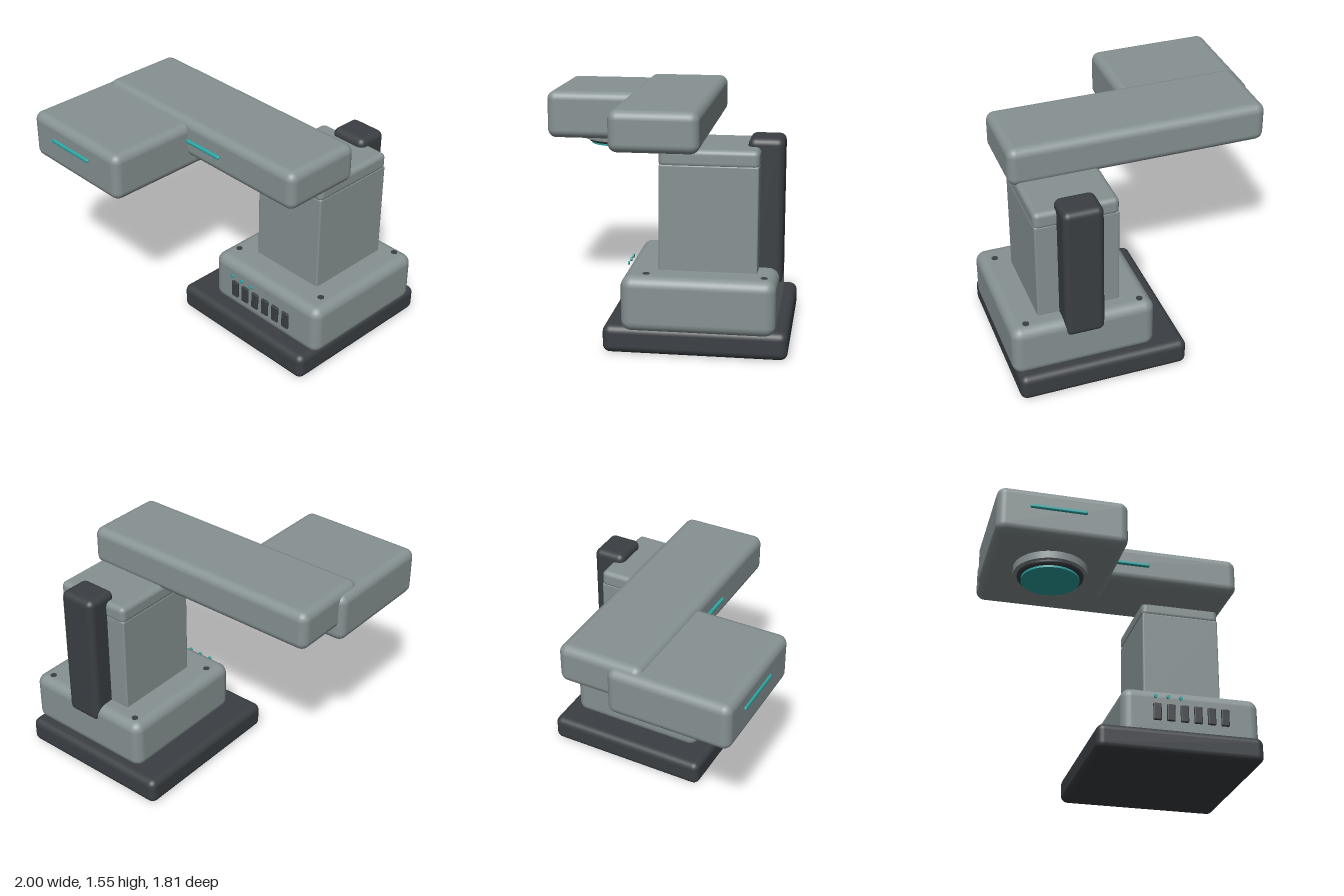
import * as THREE from 'three';
import { RoundedBoxGeometry } from 'three/addons/geometries/RoundedBoxGeometry.js';

export function createModel() {
  const model = new THREE.Group();
  model.name = 'deskArm';

  const material = (name, color) => {
    const m = new THREE.MeshStandardMaterial({ color });
    m.name = name;
    return m;
  };
  const grey = material('bodyGrey', 0x879293);
  const dark = material('charcoal', 0x3b3f43);
  const teal = material('tealLight', 0x2ca6a4);

  const add = (name, geometry, mat, x, y, z, parent = model) => {
    const mesh = new THREE.Mesh(geometry, mat);
    mesh.name = name;
    mesh.position.set(x, y, z);
    parent.add(mesh);
    return mesh;
  };
  // Rounded box given by its extents on each axis
  const box = (name, mat, [x0, x1], [y0, y1], [z0, z1], r, parent = model) =>
    add(name, new RoundedBoxGeometry(x1 - x0, y1 - y0, z1 - z0, 4, r), mat,
      (x0 + x1) / 2, (y0 + y1) / 2, (z0 + z1) / 2, parent);

  // Base and housing
  box('basePlate', dark, [-0.19, 0.975], [0, 0.185], [-0.905, 0.285], 0.05);
  box('housing', grey, [0.01, 0.995], [0.15, 0.518], [-0.825, 0.163], 0.07);

  // Column with its cap and rear spine
  box('column', grey, [0.22, 0.787], [0.45, 1.21], [-0.693, -0.056], 0.012);
  box('columnCap', grey, [0.218, 0.789], [1.19, 1.31], [-0.696, -0.054], 0.035);
  box('rearSpine', dark, [0.367, 0.64], [0.4, 1.365], [-0.842, -0.61], 0.045);

  // Horizontal arm and head
  box('arm', grey, [-0.962, 0.833], [1.278, 1.551], [-0.318, 0.27], 0.06);
  box('head', grey, [-1, -0.125], [1.182, 1.518], [0.043, 0.893], 0.06);

  // Light strips
  box('armStrip', teal, [-0.3, 0.183], [1.393, 1.42], [0.262, 0.288], 0.011);
  box('headStrip', teal, [-0.787, -0.405], [1.367, 1.396], [0.88, 0.906], 0.011);

  // Round lamp under the head: collar, bezel and lens
  const lamp = new THREE.Group();
  lamp.name = 'lamp';
  lamp.position.set(-0.562, 0, 0.452);
  model.add(lamp);
  const disc = (name, mat, r, y0, y1) =>
    add(name, new THREE.CylinderGeometry(r, r, y1 - y0, 48), mat, 0, (y0 + y1) / 2, 0, lamp);
  disc('lampCollar', grey, 0.251, 1.13, 1.2);
  const bezel = add('lampBezel', new THREE.TorusGeometry(0.203, 0.022, 12, 48), dark, 0, 1.126, 0, lamp);
  bezel.rotation.x = Math.PI / 2;
  disc('lampLens', teal, 0.198, 1.09, 1.105);
  disc('lampCore', dark, 0.19, 1.105, 1.135);

  // Vent slots across the housing front
  const vents = new THREE.Group();
  vents.name = 'vents';
  model.add(vents);
  for (let i = 0; i < 6; i++) {
    const x = 0.25 + i * 0.0966;
    box('ventSlot', dark, [x - 0.029, x + 0.029], [0.276, 0.4], [0.18, 0.2], 0.008, vents);
  }

  // Indicator lights above the vents
  const dotGeometry = new THREE.CylinderGeometry(0.013, 0.013, 0.012, 16).rotateX(Math.PI / 2);
  for (const x of [0.235, 0.324, 0.414]) add('indicator', dotGeometry, teal, x, 0.445, 0.204);

  // Screws at the housing corners
  const screwGeometry = new THREE.CylinderGeometry(0.022, 0.022, 0.016, 16);
  for (const x of [0.102, 0.885])
    for (const z of [0.008, -0.745]) add('screw', screwGeometry, dark, x, 0.514, z);

  return model;
}
